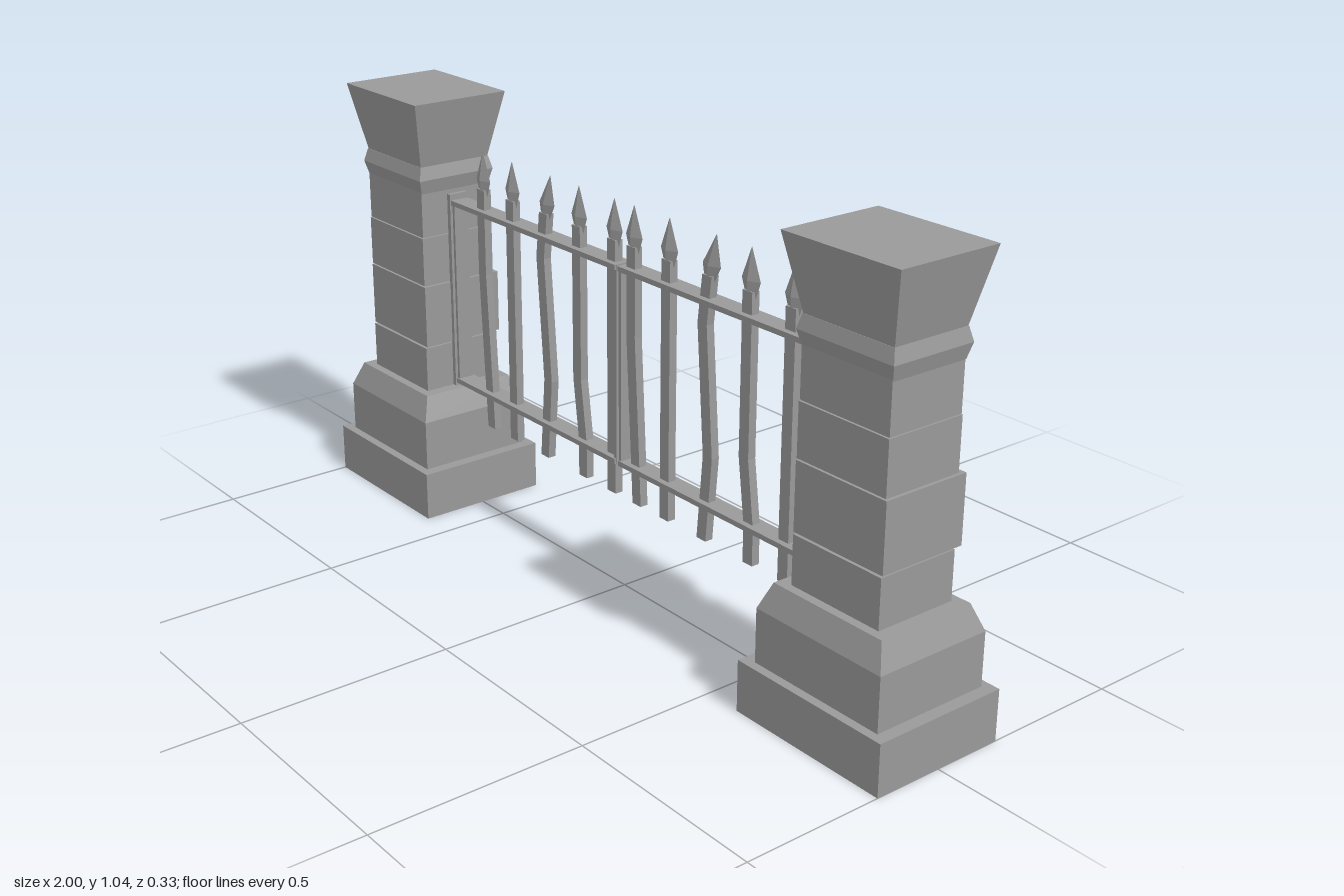
import * as THREE from 'three';

const stone = new THREE.MeshStandardMaterial({ color: 0x999999 });
stone.name = 'grey';

// Four-sided solid through sections [x, y, halfWidth, halfDepth, z]; diamond turns the corners onto the axes
function loft(name, sections, diamond = false) {
  const corners = diamond ? [[-1, 0], [0, 1], [1, 0], [0, -1]] : [[-1, 1], [1, 1], [1, -1], [-1, -1]];
  const rings = sections.map(([x, y, hw, hd, z = 0]) =>
    corners.map(([a, b]) => [x + a * hw, y, z + b * hd]));
  const pos = [];
  const quad = (a, b, c, d) => pos.push(...a, ...b, ...c, ...a, ...c, ...d);
  for (let i = 0; i < rings.length - 1; i++) {
    for (let k = 0; k < 4; k++) {
      const n = (k + 1) % 4;
      quad(rings[i][k], rings[i][n], rings[i + 1][n], rings[i + 1][k]);
    }
  }
  const first = rings[0], last = rings[rings.length - 1];
  quad(first[3], first[2], first[1], first[0]);
  quad(last[0], last[1], last[2], last[3]);
  const geo = new THREE.BufferGeometry();
  geo.setAttribute('position', new THREE.Float32BufferAttribute(pos, 3));
  geo.computeVertexNormals();
  const mesh = new THREE.Mesh(geo, stone);
  mesh.name = name;
  return mesh;
}

function box(name, w, h, d, x, y, z = 0) {
  const mesh = new THREE.Mesh(new THREE.BoxGeometry(w, h, d), stone);
  mesh.position.set(x, y, z);
  mesh.name = name;
  return mesh;
}

function makePillar(name, x) {
  const pillar = new THREE.Group();
  pillar.name = name;
  pillar.position.x = x;
  pillar.add(box('plinth', 0.41, 0.12, 0.334, 0, 0.06));
  pillar.add(loft('bevelledFoot', [
    [0, 0.12, 0.176, 0.146], [0, 0.245, 0.176, 0.146], [0, 0.305, 0.152, 0.123],
  ]));
  // Stacked shaft blocks, the second one slipped backwards: bottom, top, width, front, back
  const blocks = [
    [0.305, 0.418, 0.245, 0.102, -0.1],
    [0.422, 0.578, 0.248, 0.1, -0.117],
    [0.582, 0.703, 0.244, 0.1, -0.097],
    [0.705, 0.82, 0.242, 0.098, -0.095],
  ];
  for (const [y0, y1, w, front, back] of blocks) {
    pillar.add(box('shaftBlock', w, y1 - y0, front - back, 0, (y0 + y1) / 2, (front + back) / 2));
  }
  pillar.add(box('shaftCore', 0.23, 0.51, 0.18, 0, 0.56));
  pillar.add(loft('collar', [
    [0, 0.815, 0.121, 0.097], [0, 0.85, 0.13, 0.106], [0, 0.882, 0.122, 0.098],
  ]));
  pillar.add(loft('flaredCap', [[0, 0.882, 0.121, 0.097], [0, 1.045, 0.157, 0.129]]));
  return pillar;
}

// Bar centre lines [x, y] from foot to neck, followed by the sideways lean of the spearhead
const BARS = [
  { path: [[-0.526, 0.23], [-0.531, 0.32], [-0.549, 0.63], [-0.549, 0.84]], lean: 0 },
  { path: [[-0.428, 0.23], [-0.428, 0.84]], lean: 0 },
  { path: [[-0.299, 0.23], [-0.282, 0.43], [-0.306, 0.73], [-0.293, 0.84]], lean: 0.018 },
  { path: [[-0.146, 0.23], [-0.146, 0.32], [-0.166, 0.47], [-0.166, 0.84]], lean: 0 },
  { path: [[-0.036, 0.23], [-0.036, 0.84]], lean: 0 },
];

function makeBar({ path, lean }, shift) {
  const bar = new THREE.Group();
  bar.name = 'picket';
  bar.position.x = shift;
  bar.add(loft('shaft', path.map(([x, y]) => [x, y, 0.015, 0.01])));
  const [x, y] = path[path.length - 1];
  bar.add(loft('spearhead', [
    [x - lean * 0.2, y - 0.02, 0.014, 0.009],
    [x + lean * 0.2, y + 0.022, 0.029, 0.012],
    [x + lean, y + 0.092, 0.0005, 0.0005],
  ], true));
  return bar;
}

function makeGate(name, side) {
  const gate = new THREE.Group();
  gate.name = name;
  // Frame of flat bars
  for (const y of [0.32, 0.785]) gate.add(box('rail', 0.652, 0.012, 0.048, side * 0.332, y));
  gate.add(box('meetingStile', 0.009, 0.477, 0.04, side * 0.0085, 0.5525));
  gate.add(box('hingeStile', 0.008, 0.477, 0.04, side * 0.654, 0.5525));
  gate.add(box('wallPlate', 0.012, 0.5, 0.05, side * 0.667, 0.555));
  // Both leaves share the same run of bent pickets
  for (const bar of BARS) gate.add(makeBar(bar, side < 0 ? 0 : 0.583));
  return gate;
}

export function createModel() {
  const model = new THREE.Group();
  model.name = 'gateway';
  model.add(makePillar('rightPillar', -0.795), makePillar('leftPillar', 0.795));
  model.add(makeGate('rightGate', -1), makeGate('leftGate', 1));
  return model;
}
